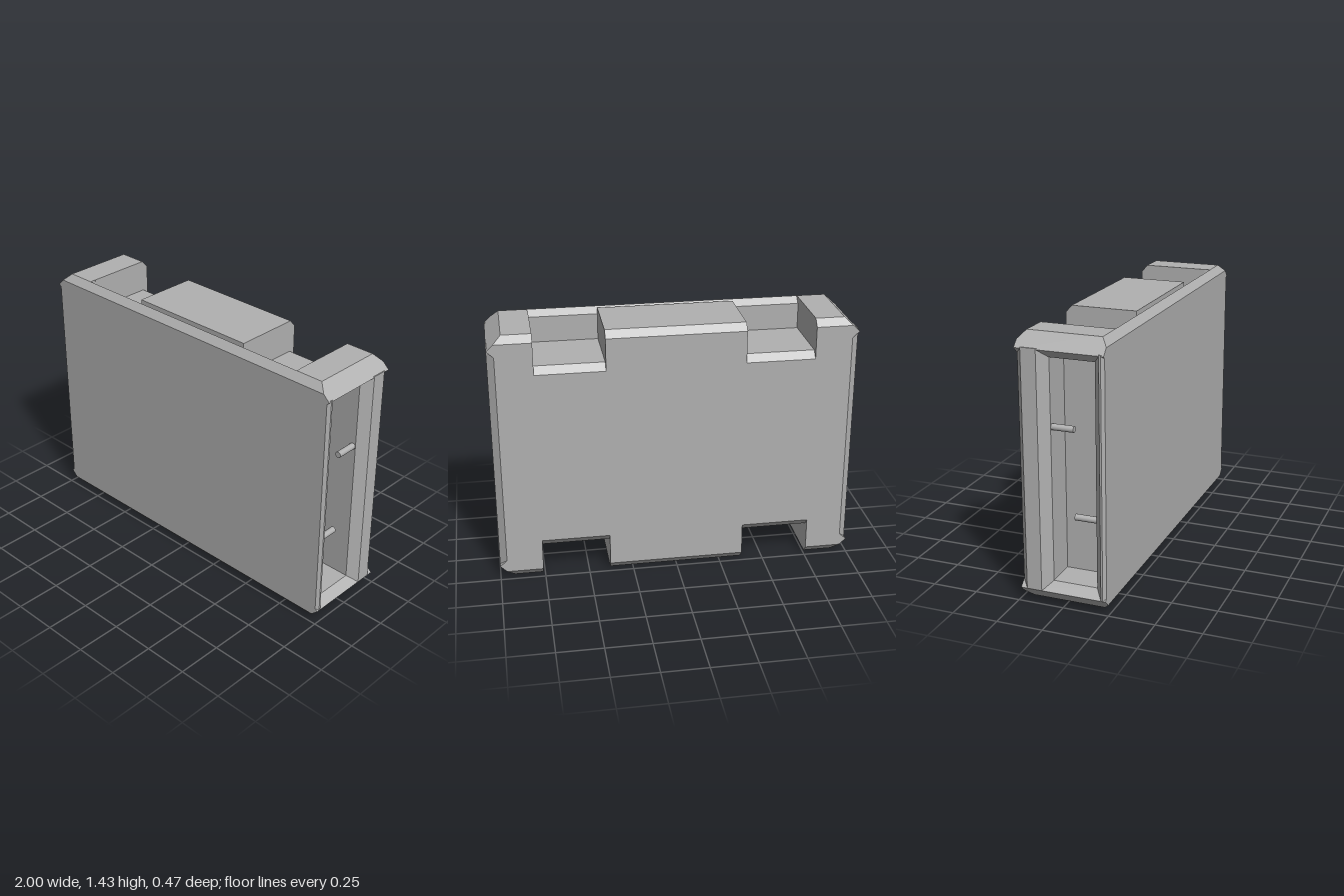
import * as THREE from 'three';

const H = 1.43;          // overall height
const BEVEL = 0.04;      // bevel of the front and back rims
const GROOVE_Z = 0.165;  // where the front plate meets the notched body

const grey = new THREE.MeshStandardMaterial({ color: 0xb0b0b0 });
grey.name = 'casing grey';

// Lofts equal-length counterclockwise rings [z, points], front to back, with end caps.
function loft(rings) {
  const pos = [];
  const tri = (a, b, c) => pos.push(...a, ...b, ...c);
  const at = ([z, pts], i) => [...pts[i % pts.length], z];
  const n = rings[0][1].length;
  for (let r = 0; r < rings.length - 1; r++) {
    const f = rings[r], k = rings[r + 1];
    for (let i = 0; i < n; i++) {
      tri(at(f, i), at(k, i), at(k, i + 1));
      tri(at(f, i), at(k, i + 1), at(f, i + 1));
    }
  }
  const cap = (ring, front) => {
    const contour = ring[1].map(([x, y]) => new THREE.Vector2(x, y));
    for (const [a, b, c] of THREE.ShapeUtils.triangulateShape(contour, [])) {
      const [p, q, s] = [contour[a], contour[b], contour[c]];
      const ccw = (q.x - p.x) * (s.y - p.y) - (q.y - p.y) * (s.x - p.x) > 0;
      if (ccw === front) tri(at(ring, a), at(ring, b), at(ring, c));
      else tri(at(ring, a), at(ring, c), at(ring, b));
    }
  };
  cap(rings[0], true);
  cap(rings[rings.length - 1], false);
  const g = new THREE.BufferGeometry();
  g.setAttribute('position', new THREE.Float32BufferAttribute(pos, 3));
  g.computeVertexNormals();
  return g;
}

const mirrorX = (half) => [...half, ...half.map(([x, y]) => [-x, y]).reverse()];
const mirrorY = (pts) => pts.map(([x, y]) => [x, H - y]).reverse();

// Lower right corner: cut corner, flared lip of the side pocket, pocket floor.
const corner = (b) => [[0.92 + b * 1.07, b], [1, 0.075], [0.95, 0.12], [0.78, 0.12]];

// Body outline with two notches along the top and bottom.
function bodyRing(b) {
  const low = [[0.38, b], [0.38, 0.18 + b], [0.76, 0.18 + b], [0.76, b], ...corner(b)];
  return mirrorX([...low, ...mirrorY(low)]);
}

// Front plate outline, with a dip that forms the sloped inner lip at the top.
function plateRing(b, dip) {
  const low = corner(b);
  return mirrorX([...low, ...mirrorY(low), [0.762, H - b], [0.758, H - Math.max(b, dip)]]);
}

// Upright rail swept from a plan profile of [x, z] points.
function rail(profile) {
  const shape = new THREE.Shape(profile.map(([x, z]) => new THREE.Vector2(x, -z)));
  const g = new THREE.ExtrudeGeometry(shape, { depth: 1.285, bevelEnabled: false });
  g.rotateX(-Math.PI / 2);
  g.translate(0, 0.075, 0);
  return g;
}

export function createModel() {
  const model = new THREE.Group();
  model.name = 'casing';
  const add = (name, geometry, parent = model) => {
    const mesh = new THREE.Mesh(geometry, grey);
    mesh.name = name;
    parent.add(mesh);
    return mesh;
  };

  add('notchedBody', loft([
    [GROOVE_Z, bodyRing(0)], [-0.2, bodyRing(0)], [-0.235, bodyRing(BEVEL)],
  ]));
  add('frontPlate', loft([
    [0.235, plateRing(BEVEL, 0)], [0.2, plateRing(0, 0)], [GROOVE_Z, plateRing(0, 0.035)],
  ]));

  // Side pockets: front and back rails with a pair of short pins between them
  const backProfile = [[0.78, -0.07], [0.95, -0.07], [1, -0.118], [1, -0.2], [0.961, -0.235], [0.78, -0.235]];
  const frontProfile = [[0.78, 0.17], [0.95, 0.17], [1, 0.21], [1, 0.22], [0.985, 0.235], [0.78, 0.235]];
  for (const side of [1, -1]) {
    const pocket = new THREE.Group();
    pocket.name = side > 0 ? 'leftPocket' : 'rightPocket';
    model.add(pocket);
    const flip = (profile) => profile.map(([x, z]) => [x * side, z]);
    add('backRail', rail(flip(backProfile)), pocket);
    add('frontRail', rail(flip(frontProfile)), pocket);
    for (const [name, y, z] of [['upperPin', 0.95, -0.01], ['lowerPin', 0.485, 0.11]]) {
      const pin = add(name, new THREE.CylinderGeometry(0.017, 0.017, 0.12, 24), pocket);
      pin.rotation.x = Math.PI / 2;
      pin.position.set(side * 0.932, y, z);
    }
  }
  return model;
}
